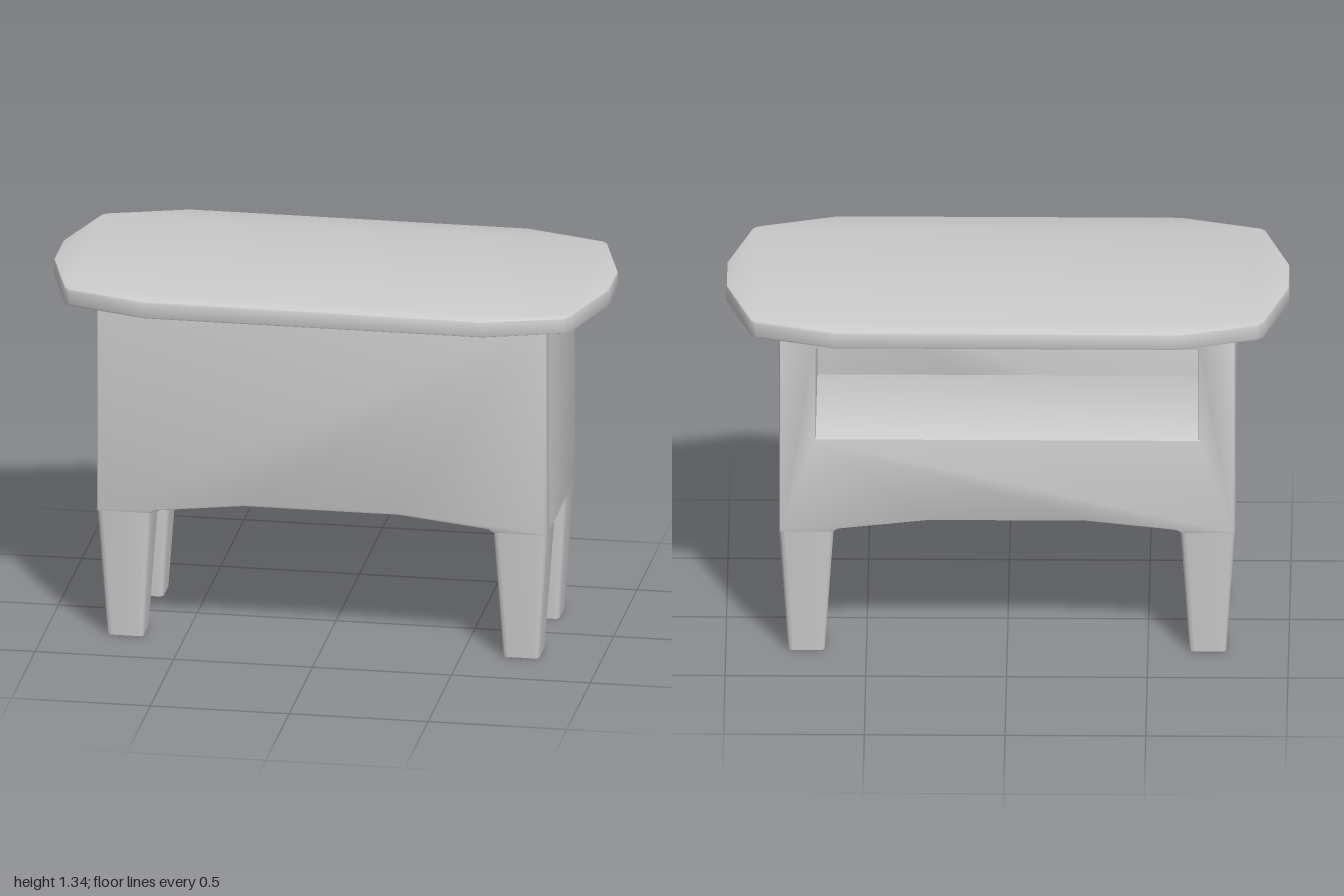
import * as THREE from 'three';
import { toCreasedNormals } from 'three/addons/utils/BufferGeometryUtils.js';

const material = new THREE.MeshStandardMaterial({ color: 0xcccccc });

// Extrusion whose rounded edges stay inside the given outline and depth
function extrude(shape, depth, bevel) {
  const geometry = new THREE.ExtrudeGeometry(shape, {
    depth: depth - 2 * bevel, bevelEnabled: bevel > 0, bevelSize: bevel,
    bevelThickness: bevel, bevelOffset: -bevel, bevelSegments: 2, curveSegments: 4,
  });
  return geometry.translate(0, 0, bevel);
}

function addMesh(parent, name, geometry) {
  const mesh = new THREE.Mesh(toCreasedNormals(geometry, 0.6), material);
  mesh.name = name;
  parent.add(mesh);
  return mesh;
}

const toShape = (points) => new THREE.Shape(points.map(([x, y]) => new THREE.Vector2(x, y)));

// Front outline of the body with the arched lower edge
function bodyOutline() {
  return toShape([
    [-0.81, 0.475], [-0.62, 0.475], [-0.6, 0.487], [-0.28, 0.522],
    [0.28, 0.522], [0.6, 0.487], [0.62, 0.475], [0.81, 0.475], [0.81, 1.3], [-0.81, 1.3],
  ]);
}

// Tapered leg: a rounded square extruded upward, narrower at the foot
function legGeometry() {
  const h = 0.097, r = 0.025, height = 0.48;
  const square = new THREE.Shape();
  square.absarc(h - r, h - r, r, 0, Math.PI / 2);
  square.absarc(r - h, h - r, r, Math.PI / 2, Math.PI);
  square.absarc(r - h, r - h, r, Math.PI, Math.PI * 1.5);
  square.absarc(h - r, r - h, r, Math.PI * 1.5, Math.PI * 2);
  const geometry = extrude(square, height, 0).rotateX(-Math.PI / 2);
  const p = geometry.attributes.position;
  for (let i = 0; i < p.count; i++) {
    const k = THREE.MathUtils.lerp(0.67, 1, p.getY(i) / height);
    p.setX(i, p.getX(i) * k);
    p.setZ(i, p.getZ(i) * k);
  }
  return geometry;
}

export function createModel() {
  const model = new THREE.Group();
  model.name = 'desk';

  // Tabletop: one quarter outline mirrored into all four corners
  const quarter = [[1, 0.1], [0.912, 0.392], [0.895, 0.41], [0.61, 0.5]];
  const mirrored = [...quarter].reverse();
  const outline = [
    ...quarter,
    ...mirrored.map(([x, z]) => [-x, z]),
    ...quarter.map(([x, z]) => [-x, -z]),
    ...mirrored.map(([x, z]) => [x, -z]),
  ];
  addMesh(model, 'tabletop', extrude(toShape(outline), 0.065, 0.008).rotateX(-Math.PI / 2))
    .position.y = 1.277;

  // Body: a frame open at the back, closed by the front panel
  const body = new THREE.Group();
  body.name = 'body';
  model.add(body);
  const frame = bodyOutline();
  frame.holes.push(new THREE.Path([
    [-0.68, 0.84], [-0.68, 1.19], [0.68, 1.19], [0.68, 0.84],
  ].map(([x, y]) => new THREE.Vector2(x, y))));
  addMesh(body, 'shelfFrame', extrude(frame, 0.59, 0.008)).position.z = -0.312;
  addMesh(body, 'frontPanel', extrude(bodyOutline(), 0.072, 0.008)).position.z = 0.24;

  // Four legs
  const leg = legGeometry();
  for (const [sx, side] of [[1, 'Left'], [-1, 'Right']]) {
    for (const [sz, end] of [[1, 'front'], [-1, 'back']]) {
      addMesh(model, `${end}${side}Leg`, leg).position.set(sx * 0.713, 0, sz * 0.213);
    }
  }
  return model;
}
